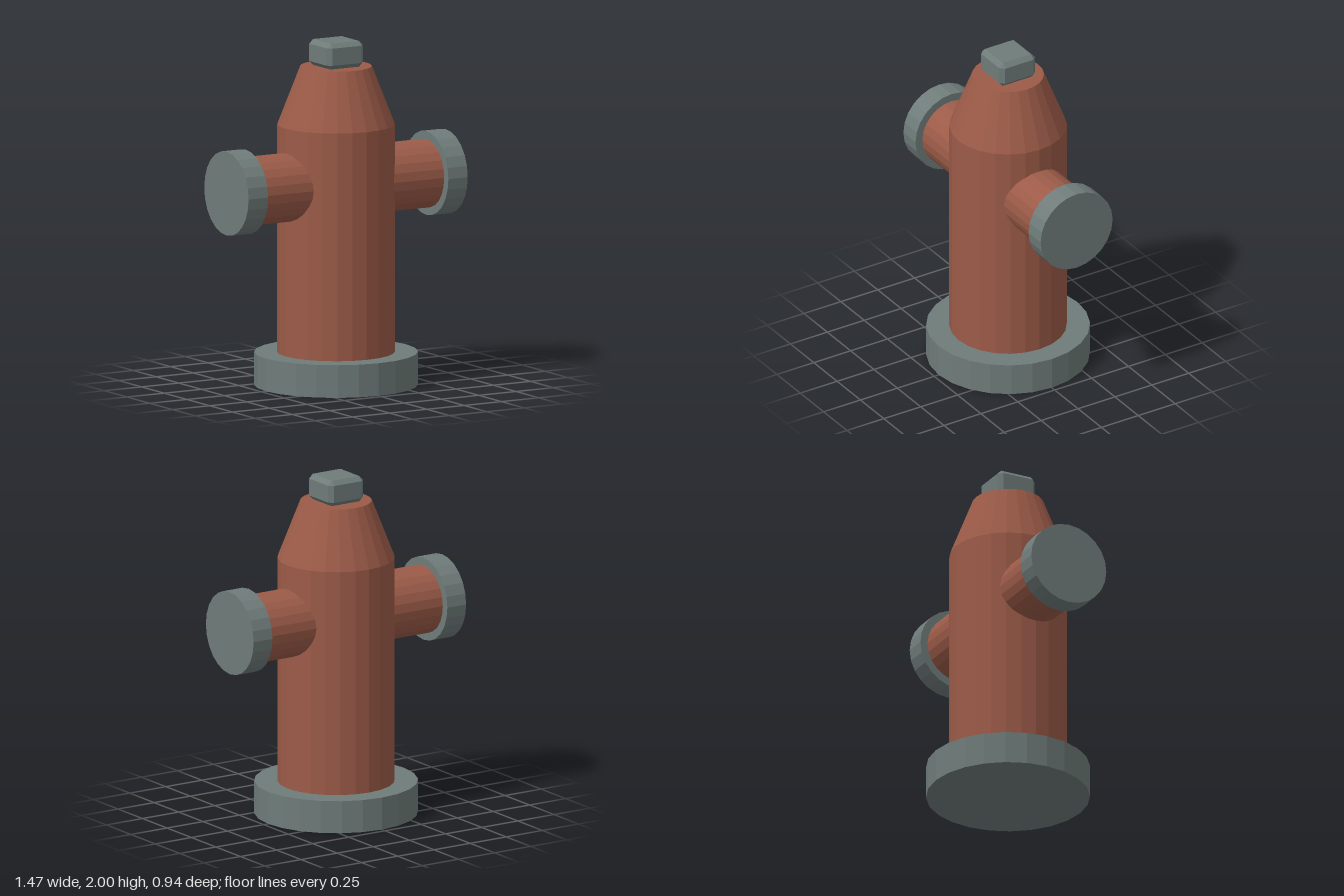
import * as THREE from 'three';
import { ConvexGeometry } from 'three/addons/geometries/ConvexGeometry.js';

const SIDES = 24;
const red = new THREE.MeshStandardMaterial({ color: 0x9c5b48, flatShading: true });
const iron = new THREE.MeshStandardMaterial({ color: 0x6f7c7a, flatShading: true });

// Upright cylinder or cone spanning y0..y1
function drum(name, rBottom, rTop, y0, y1, material) {
  const geometry = new THREE.CylinderGeometry(rTop, rBottom, y1 - y0, SIDES);
  geometry.translate(0, (y0 + y1) / 2, 0);
  const mesh = new THREE.Mesh(geometry, material);
  mesh.name = name;
  return mesh;
}

// Box with every edge and corner chamfered by c
function chamferedBox(w, h, d, c) {
  const points = [];
  for (const x of [-1, 1]) for (const y of [-1, 1]) for (const z of [-1, 1]) {
    for (let axis = 0; axis < 3; axis++) {
      const inset = [0, 1, 2].map((i) => (i === axis ? 0 : c));
      points.push(new THREE.Vector3(
        x * (w / 2 - inset[0]), y * (h / 2 - inset[1]), z * (d / 2 - inset[2])));
    }
  }
  return new ConvexGeometry(points);
}

export function createModel() {
  const model = new THREE.Group();
  model.name = 'hydrant';

  // Base flange, barrel and tapered bonnet
  model.add(
    drum('baseFlange', 0.47, 0.47, 0, 0.19, iron),
    drum('barrel', 0.337, 0.337, 0.19, 1.513, red),
    drum('bonnet', 0.337, 0.206, 1.513, 1.85, red));

  // Operating nut on top
  const nut = new THREE.Mesh(chamferedBox(0.242, 0.15, 0.242, 0.025), iron);
  nut.name = 'topNut';
  nut.position.y = 1.925;
  model.add(nut);

  // Side outlets with caps, mirrored left and right
  for (const [name, side] of [['leftOutlet', 1], ['rightOutlet', -1]]) {
    const outlet = new THREE.Group();
    outlet.name = name;
    outlet.add(
      drum('pipe', 0.198, 0.198, 0.1, 0.605, red),
      drum('cap', 0.244, 0.244, 0.605, 0.735, iron));
    outlet.position.y = 1.173;
    outlet.rotation.z = -side * Math.PI / 2;
    model.add(outlet);
  }
  return model;
}
